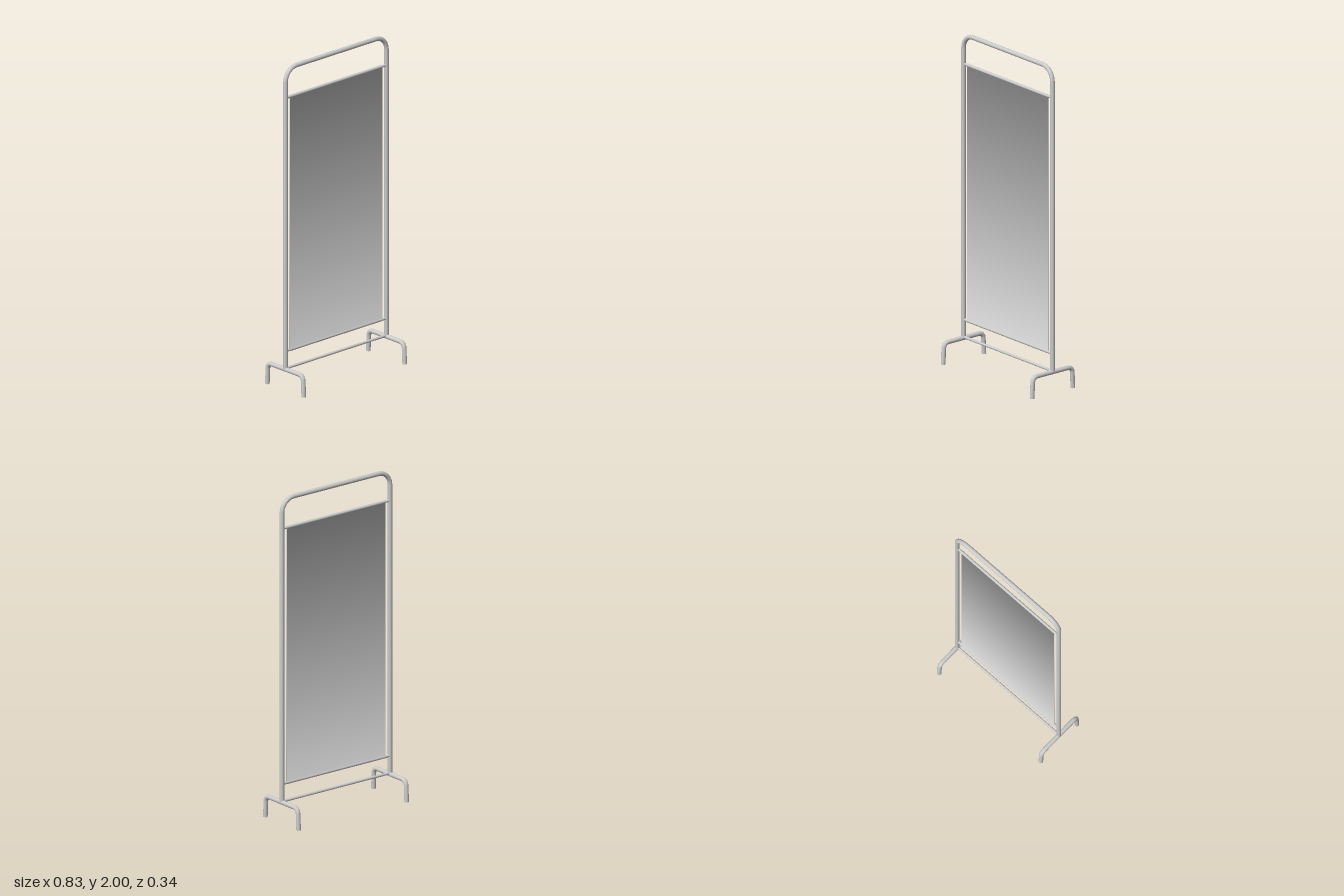
import * as THREE from 'three';

const material = new THREE.MeshStandardMaterial({ color: 0xcccccc });
const sheetMaterial = new THREE.MeshStandardMaterial({ color: 0xcccccc, side: THREE.DoubleSide });
const R = 0.0137; // main tube radius
const POST_X = 0.4, BASE_Y = 0.129;
const V = (x, y, z) => new THREE.Vector3(x, y, z);

// Path that passes exactly through its points, with mitred bends
class BentPath extends THREE.Curve {
  constructor(points) { super(); this.points = points; }
  getPointAt(u, target = new THREE.Vector3()) {
    const n = this.points.length - 1, i = Math.min(Math.floor(u * n + 1e-6), n - 1);
    return target.lerpVectors(this.points[i], this.points[i + 1], u * n - i);
  }
  getPoint(t, target) { return this.getPointAt(t, target); }
  getTangentAt(u, target = new THREE.Vector3()) {
    const p = this.points, n = p.length - 1, i = Math.round(u * n);
    target.set(0, 0, 0);
    if (i > 0) target.add(p[i].clone().sub(p[i - 1]).normalize());
    if (i < n) target.add(p[i + 1].clone().sub(p[i]).normalize());
    return target.normalize();
  }
}

// Replace each inner corner by a rounded bend
function roundCorners(corners, radius, steps) {
  const out = [corners[0]];
  for (let i = 1; i < corners.length - 1; i++) {
    const c = corners[i];
    const a = corners[i - 1].clone().sub(c).setLength(radius).add(c);
    const b = corners[i + 1].clone().sub(c).setLength(radius).add(c);
    const mid = a.clone().add(b).multiplyScalar(0.5).lerp(c, 0.19);
    // rational blend that follows a circular arc
    const w = Math.SQRT1_2;
    for (let k = 0; k <= steps; k++) {
      const t = k / steps, wa = (1 - t) ** 2, wc = 2 * w * t * (1 - t), wb = t * t;
      out.push(mid.clone().set(0, 0, 0).addScaledVector(a, wa).addScaledVector(c, wc)
        .addScaledVector(b, wb).divideScalar(wa + wc + wb));
    }
  }
  out.push(corners[corners.length - 1]);
  return out;
}

function bentTube(name, corners, bend, steps) {
  const points = roundCorners(corners, bend, steps);
  const mesh = new THREE.Mesh(
    new THREE.TubeGeometry(new BentPath(points), points.length - 1, R, 16, false), material);
  mesh.name = name;
  return mesh;
}

function crossBar(name, y, radius) {
  const mesh = new THREE.Mesh(new THREE.CylinderGeometry(radius, radius, POST_X * 2, 16), material);
  mesh.rotation.z = Math.PI / 2;
  mesh.position.y = y;
  mesh.name = name;
  return mesh;
}

// Thin sheet whose top and bottom hems loop around the two rails
function sheetGeometry(halfWidth, yLow, yHigh, hem, thickness) {
  const profile = []; // [z, y], counterclockwise seen from +x
  const start = Math.asin(thickness / hem), steps = 12;
  for (const [y, s] of [[yHigh, 1], [yLow, -1]]) {
    for (let k = 0; k <= steps; k++) {
      const a = start + (2 * Math.PI - 2 * start) * k / steps;
      profile.push([s * hem * Math.sin(a), y - s * hem * Math.cos(a)]);
    }
  }
  const n = profile.length, positions = [], normals = [], index = [];
  const edgeNormal = (i) => {
    const [z0, y0] = profile[i % n], [z1, y1] = profile[(i + 1) % n];
    return new THREE.Vector2(y1 - y0, z0 - z1).normalize();
  };
  for (let i = 0; i < n; i++) {
    const [z, y] = profile[i];
    const normal = edgeNormal(i).add(edgeNormal(i + n - 1)).normalize();
    for (const x of [-halfWidth, halfWidth]) {
      positions.push(x, y, z);
      normals.push(0, normal.y, normal.x);
    }
    const a = 2 * i, b = 2 * ((i + 1) % n);
    index.push(a, a + 1, b + 1, a, b + 1, b);
  }
  const geometry = new THREE.BufferGeometry();
  geometry.setAttribute('position', new THREE.Float32BufferAttribute(positions, 3));
  geometry.setAttribute('normal', new THREE.Float32BufferAttribute(normals, 3));
  geometry.setIndex(index);
  return geometry;
}

export function createModel() {
  const model = new THREE.Group();
  model.name = 'standingScreen';

  // Upright frame: one tube bent over the top
  const top = 2 - R;
  model.add(bentTube('frame', [V(-POST_X, BASE_Y, 0), V(-POST_X, top, 0),
    V(POST_X, top, 0), V(POST_X, BASE_Y, 0)], 0.085, 6));

  // Rails holding the sheet, and the lower brace
  model.add(crossBar('topRail', 1.805, 0.008));
  model.add(crossBar('bottomRail', 0.242, 0.008));
  model.add(crossBar('lowerBrace', 0.135, 0.008));

  // Hanging sheet
  const sheet = new THREE.Mesh(sheetGeometry(0.365, 0.242, 1.805, 0.009, 0.002), sheetMaterial);
  sheet.name = 'sheet';
  model.add(sheet);

  // Feet: a bent tube on each side, with closed ends
  for (const side of [-1, 1]) {
    const foot = new THREE.Group();
    foot.name = side > 0 ? 'leftFoot' : 'rightFoot';
    foot.position.x = side * POST_X;
    foot.add(bentTube('footTube', [V(0, 0, 0.154), V(0, BASE_Y, 0.148),
      V(0, BASE_Y, -0.148), V(0, 0, -0.154)], 0.03, 4));
    for (const z of [-0.154, 0.154]) {
      const cap = new THREE.Mesh(new THREE.CircleGeometry(R, 16), material);
      cap.rotation.x = Math.PI / 2;
      cap.position.set(0, 0, z);
      cap.name = 'footCap';
      foot.add(cap);
    }
    model.add(foot);
  }
  return model;
}
